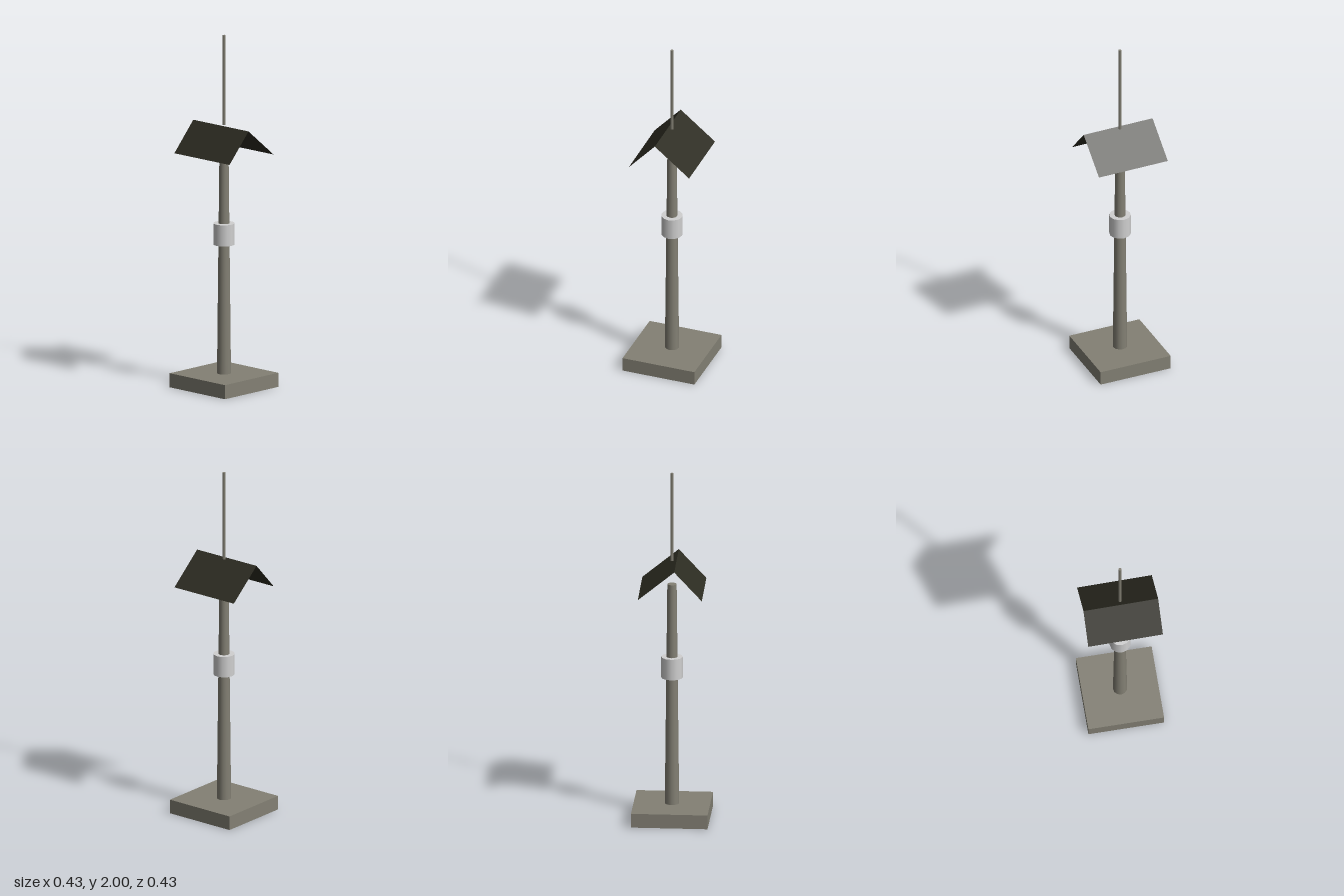
import * as THREE from 'three';

export function createModel() {
  const group = new THREE.Group();
  const stone = new THREE.MeshStandardMaterial({ name: 'weathered grey', color: 0x838074 });
  const roofing = new THREE.MeshStandardMaterial({ name: 'dark roofing', color: 0x2d2c22, side: THREE.DoubleSide });
  const pale = new THREE.MeshStandardMaterial({ name: 'pale grey', color: 0xd0d0d0 });

  const add = (name, geometry, material, y = 0) => {
    const mesh = new THREE.Mesh(geometry, material);
    mesh.name = name;
    mesh.position.y = y;
    group.add(mesh);
    return mesh;
  };
  // upright round part between two heights
  const post = (name, material, y0, y1, r0, r1, sides) =>
    add(name, new THREE.CylinderGeometry(r1, r0, y1 - y0, sides), material, (y0 + y1) / 2);

  add('base', new THREE.BoxGeometry(0.425, 0.08, 0.425), stone, 0.04);
  post('pole', stone, 0.08, 1.355, 0.04, 0.026, 12);
  post('collar', pale, 0.812, 0.932, 0.06, 0.06, 12);
  post('mast', stone, 1.49, 2, 0.009, 0.009, 6);

  // thin folded roof sheet, with its ridge a little off centre
  const profile = [[-0.178, 1.325], [-0.025, 1.49], [0.177, 1.325]];
  const roof = new THREE.PlaneGeometry(1, 0.42, 2, 1).rotateX(-Math.PI / 2);
  const p = roof.attributes.position;
  for (let i = 0; i < p.count; i++) {
    const [x, y] = profile[i % 3];
    p.setXYZ(i, x, y, p.getZ(i));
  }
  const flatRoof = roof.toNonIndexed();
  flatRoof.computeVertexNormals();
  add('roof', flatRoof, roofing).rotation.y = 0.012;

  return group;
}
